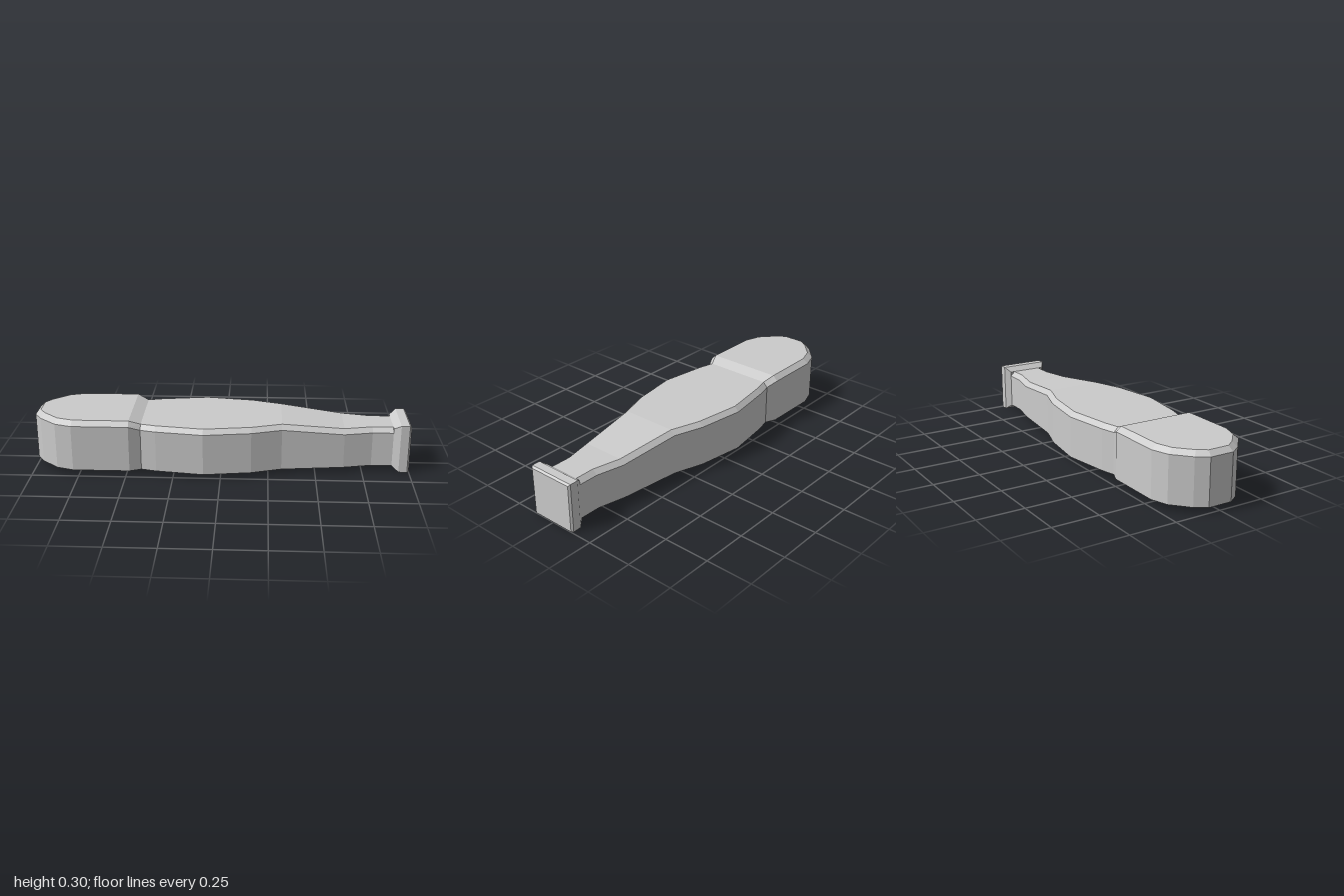
import * as THREE from 'three';

// Joins matching rings of [x, y, z] points along x, with optional end caps
function loft(name, rings, capStart, capEnd) {
  const pos = [];
  const quad = (a, b, c, d) => [a, b, c, a, c, d].forEach((p) => pos.push(...p));
  const n = rings[0].length;
  for (let s = 0; s < rings.length - 1; s++) {
    for (let i = 0; i < n; i++) {
      const j = (i + 1) % n;
      quad(rings[s][i], rings[s + 1][i], rings[s + 1][j], rings[s][j]);
    }
  }
  // Caps are strips between mirrored points, so a bevelled end stays clean
  const first = rings[0], last = rings[rings.length - 1];
  for (let k = 0; k < n / 2 - 1; k++) {
    const q = [k, k + 1, n - 2 - k, n - 1 - k];
    if (capStart) quad(...q.map((i) => first[i]));
    if (capEnd) quad(...q.reverse().map((i) => last[i]));
  }
  const geo = new THREE.BufferGeometry();
  geo.setAttribute('position', new THREE.Float32BufferAttribute(pos, 3));
  geo.computeVertexNormals();
  const mesh = new THREE.Mesh(geo, new THREE.MeshStandardMaterial({ color: 0xcccccc, flatShading: true }));
  mesh.name = name;
  return mesh;
}

const BASE = 0.028;

// Straight sides with a chamfer from shoulder up to the flat top
const bevelRing = ([x, w, shoulder, topX, topW, top]) => [
  [x, BASE, w], [x, shoulder, w], [topX, top, topW],
  [topX, top, -topW], [x, shoulder, -w], [x, BASE, -w],
];

// Rectangular ring for the end cap
const boxRing = ([x, w, low, high]) => [
  [x, low, w], [x, high, w], [x, high, -w], [x, low, -w],
];

export function createModel() {
  const group = new THREE.Group();
  group.name = 'handle';

  // Raised rounded head: x, half width, shoulder, top x, top half width, top
  const head = [
    [-1, 0.065, 0.275, -0.973, 0.057, 0.3],
    [-0.96, 0.125, 0.275, -0.94, 0.105, 0.3],
    [-0.87, 0.205, 0.275, -0.86, 0.178, 0.3],
    [-0.78, 0.235, 0.275, -0.775, 0.206, 0.3],
    [-0.48, 0.235, 0.275, -0.48, 0.207, 0.3],
    [-0.42, 0.21, 0.25, -0.42, 0.185, 0.275],
  ];
  group.add(loft('head', head.map(bevelRing), true, false));

  // Swelling grip tapering to a neck: x, half width, shoulder height
  const grip = [
    [-0.42, 0.21, 0.25], [-0.34, 0.23, 0.25], [-0.09, 0.266, 0.25],
    [0.16, 0.23, 0.25], [0.32, 0.178, 0.25], [0.65, 0.14, 0.215],
    [0.8, 0.107, 0.215], [0.91, 0.107, 0.215],
  ].map(([x, w, s]) => [x, w, s, x, w - 0.025, s + 0.025]);
  group.add(loft('grip', grip.map(bevelRing), false, true));

  // Flared end cap with a bevelled outer face
  const cap = [
    [0.91, 0.107, 0.028, 0.24], [0.945, 0.132, 0.002, 0.265],
    [0.99, 0.132, 0, 0.265], [1, 0.123, 0.002, 0.256],
  ];
  group.add(loft('endCap', cap.map(boxRing), true, true));

  return group;
}
